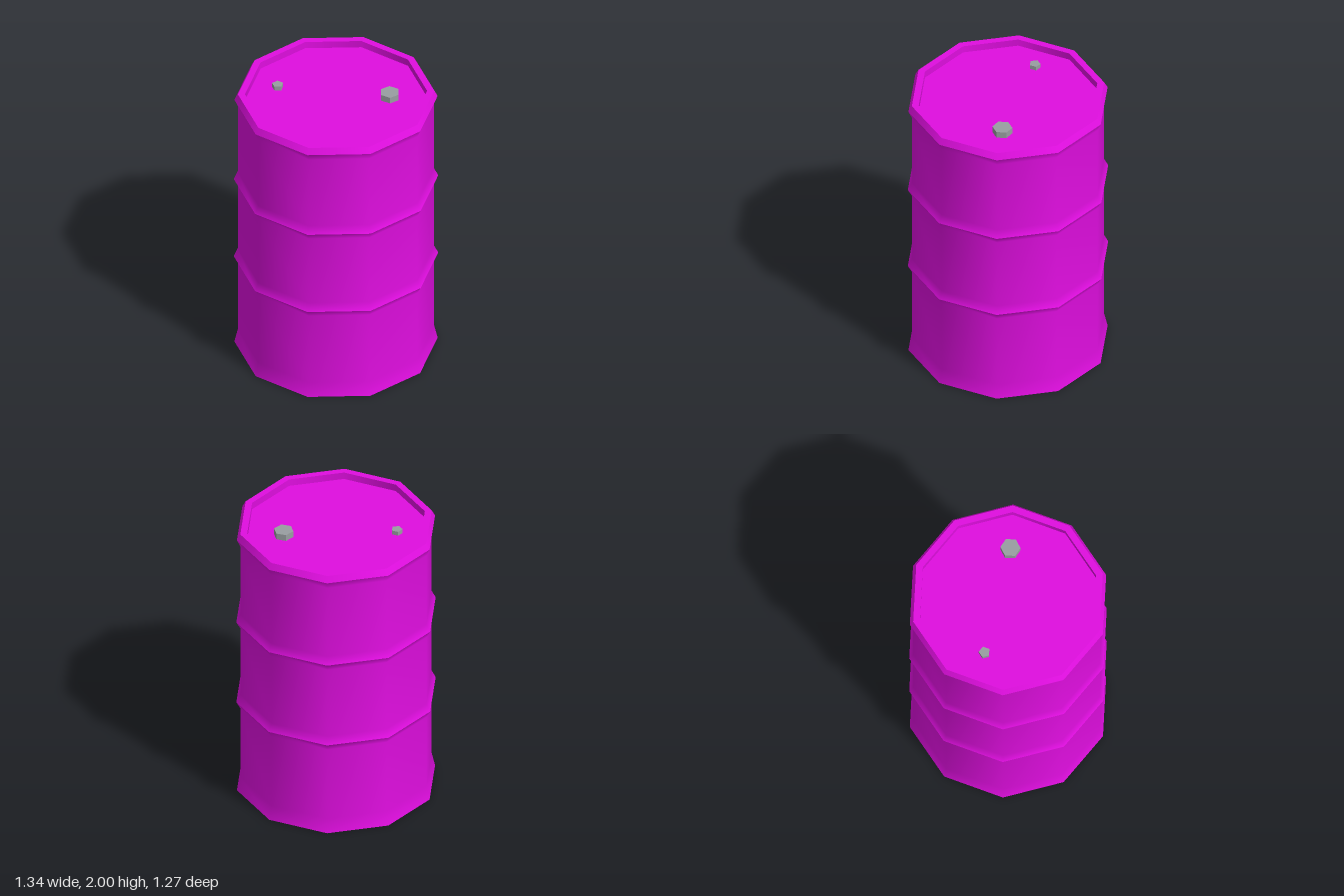
import * as THREE from 'three';

const SIDES = 10;

export function createModel() {
  const drum = new THREE.Group();
  drum.name = 'drum';

  const paint = new THREE.MeshStandardMaterial({ color: 0xe00ee0 });
  paint.name = 'magenta paint';
  const metal = new THREE.MeshStandardMaterial({ color: 0x999ea1 });
  metal.name = 'grey metal';
  metal.flatShading = true;

  // Ten-sided turned band; smooth inside one band, sharp between bands
  function band(name, profile) {
    const points = profile.map(([r, y]) => new THREE.Vector2(r, y));
    const geometry = new THREE.LatheGeometry(points, SIDES, Math.PI / SIDES);
    const mesh = new THREE.Mesh(geometry, paint);
    mesh.name = name;
    drum.add(mesh);
  }

  const wall = 0.643, ring = 0.67, flare = 0.666, lip = 0.597;

  // Base and the three wall sections, meeting at the rolled rings
  band('base', [[0, 0], [flare, 0]]);
  band('lowerWall', [[flare, 0], [wall, 0.1], [wall, 0.64], [ring, 0.69]]);
  band('middleWall', [[ring, 0.69], [wall, 0.745], [wall, 1.265], [ring, 1.315]]);
  band('upperWall', [[ring, 1.315], [wall, 1.37], [wall, 1.905], [flare, 1.957]]);

  // Rim around the sunken lid
  band('rimBevel', [[flare, 1.957], [wall, 2]]);
  band('rimTop', [[wall, 2], [lip, 2]]);
  band('rimInside', [[lip, 2], [lip, 1.95]]);
  band('lid', [[lip, 1.95], [0, 1.95]]);

  // Bung caps on the lid
  function cap(name, x, z, radius, sides, height, turn) {
    const mesh = new THREE.Mesh(new THREE.CylinderGeometry(radius, radius, height, sides), metal);
    mesh.name = name;
    mesh.position.set(x, 1.95 + height / 2, z);
    mesh.rotation.y = turn;
    drum.add(mesh);
  }
  cap('largeCap', 0.352, -0.002, 0.066, 6, 0.045, 0);
  cap('smallCap', -0.378, -0.135, 0.038, 5, 0.03, Math.PI);

  return drum;
}
